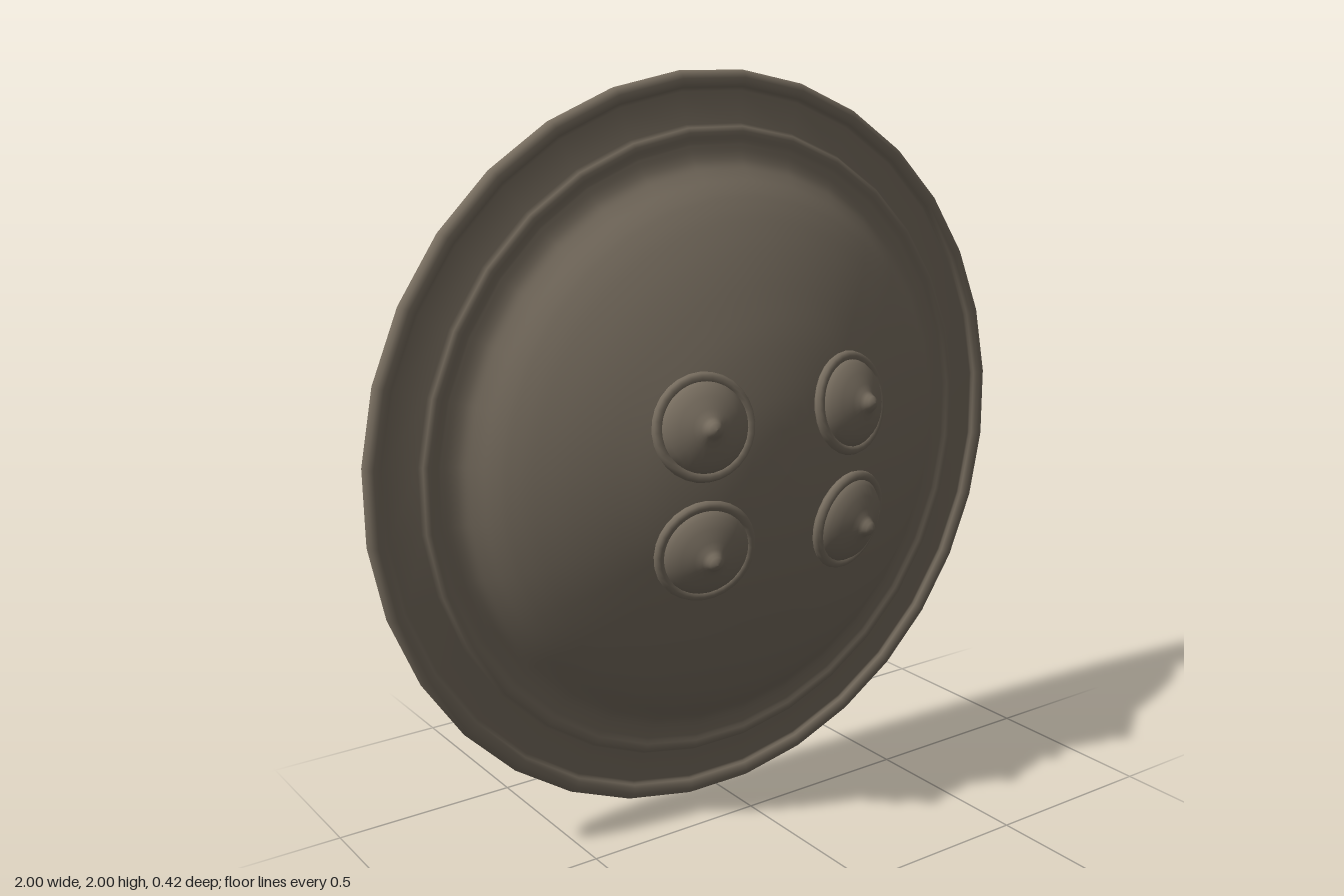
import * as THREE from 'three';

const metal = new THREE.MeshStandardMaterial({ color: 0x776d5f });
const leather = new THREE.MeshStandardMaterial({ color: 0x452b24 });
const vec2 = ([x, y]) => new THREE.Vector2(x, y);

function add(parent, name, geometry, material) {
  const mesh = new THREE.Mesh(geometry, material);
  mesh.name = name;
  parent.add(mesh);
  return mesh;
}

// Profile of [radius, z] pairs turned around the z axis
function turned(points, sides) {
  return new THREE.LatheGeometry(points, sides, Math.PI / sides).rotateX(Math.PI / 2);
}

// Flat band of leather following a side-on path of [y, z] pairs
function band(path, width, thickness) {
  const curve = new THREE.CatmullRomCurve3(path.map(([y, z]) => new THREE.Vector3(0, y, z)));
  const geometry = new THREE.BoxGeometry(width, 1, thickness, 1, 14, 1);
  const pos = geometry.attributes.position;
  for (let i = 0; i < pos.count; i++) {
    const u = 0.5 - pos.getY(i);
    const p = curve.getPointAt(u), t = curve.getTangentAt(u), d = pos.getZ(i);
    pos.setXYZ(i, pos.getX(i), p.y - t.z * d, p.z - t.y * d);
  }
  geometry.computeVertexNormals();
  return geometry;
}

// Leather slab sunk in the middle to cradle the arm; soft thins its edges
function slab(width, height, thickness, z, soft) {
  const geometry = new THREE.BoxGeometry(width, height, thickness, 14, 14, 2);
  const pos = geometry.attributes.position;
  for (let i = 0; i < pos.count; i++) {
    const x = pos.getX(i), y = pos.getY(i);
    const edge = 2 * Math.max(Math.abs(x) / width, Math.abs(y) / height);
    const puff = 1 - soft * Math.pow(edge, 6);
    pos.setZ(i, z + pos.getZ(i) * puff - 0.7 * x * x - 0.3 * y * y);
  }
  geometry.computeVertexNormals();
  return geometry;
}

function createBoss() {
  const boss = new THREE.Group();
  boss.name = 'boss';
  add(boss, 'bossRing', new THREE.TorusGeometry(0.124, 0.014, 8, 28), metal);
  const profile = [
    [0.12, -0.02], [0.116, 0.008], [0.104, 0.025], [0.08, 0.041], [0.05, 0.053],
    [0.032, 0.06], [0.024, 0.068], [0.018, 0.078], [0.01, 0.085], [0, 0.087],
  ].map(vec2);
  add(boss, 'bossCap', turned(profile, 28), metal);
  return boss;
}

export function createModel() {
  const shield = new THREE.Group();
  shield.name = 'shield';

  // Body: hollow back, rolled rim, flat border with bead, domed front
  const back = new THREE.SplineCurve([
    [0, 0.018], [0.15, 0.01], [0.3, -0.013], [0.45, -0.055], [0.6, -0.106],
    [0.75, -0.154], [0.85, -0.183], [0.95, -0.205],
  ].map(vec2)).getPoints(28);
  const border = [
    [0.975, -0.209], [0.99, -0.2], [1.0, -0.187], [1.003, -0.173], [0.997, -0.16],
    [0.983, -0.154], [0.968, -0.156], [0.96, -0.163], [0.957, -0.17], [0.95, -0.17],
    [0.868, -0.164], [0.86, -0.152], [0.848, -0.147], [0.836, -0.149], [0.828, -0.152],
  ].map(vec2);
  const dome = new THREE.SplineCurve([
    [0.82, -0.152], [0.79, -0.147], [0.765, -0.137], [0.74, -0.116], [0.71, -0.086],
    [0.68, -0.06], [0.63, -0.025], [0.55, 0.02], [0.45, 0.065], [0.32, 0.112], [0.16, 0.148], [0, 0.16],
  ].map(vec2)).getPoints(44);
  add(shield, 'body', turned([...back, ...border, ...dome], 32), metal).position.y = 1;

  // Four bosses tilted with the slope of the dome
  for (const x of [-0.232, 0.232]) {
    for (const y of [-0.16, 0.16]) {
      const boss = createBoss();
      boss.position.set(x, 0.99 + y, 0.124);
      boss.quaternion.setFromUnitVectors(
        new THREE.Vector3(0, 0, 1), new THREE.Vector3(x, y, 1.1).normalize());
      shield.add(boss);
    }
  }

  // Arm pad on the back: thin sheet with a stuffed cushion
  const grip = new THREE.Group();
  grip.name = 'armGrip';
  grip.position.y = 0.988;
  shield.add(grip);
  add(grip, 'padBacking', slab(0.56, 0.55, 0.022, -0.005, 0), leather);
  add(grip, 'padCushion', slab(0.49, 0.48, 0.07, -0.013, 0.85), leather);

  // Tabs, rings and straps, two per side
  for (const x of [-0.212, 0.212]) {
    for (const [y, upper] of [[0.15, true], [-0.245, false]]) {
      const holder = new THREE.Group();
      holder.name = upper ? 'upperFastening' : 'lowerFastening';
      holder.position.set(x, y, 0);
      grip.add(holder);
      add(holder, 'tab', band(
        [[0.09, -0.06], [0.07, -0.1], [0.02, -0.135], [-0.01, -0.135], [-0.015, -0.11], [0.03, -0.08]],
        0.072, 0.014), leather);
      const ring = add(holder, 'ring', new THREE.TorusGeometry(0.05, 0.007, 6, 18), leather);
      ring.position.set(0, -0.03, -0.124);
      ring.rotation.x = 0.2;
      let path = [[-0.05, -0.105], [-0.05, -0.132], [-0.08, -0.136], [-0.15, -0.122], [-0.26, -0.112]];
      if (!upper) {
        path = x < 0
          ? [[-0.04, -0.11], [-0.06, -0.132], [-0.15, -0.132], [-0.3, -0.152], [-0.41, -0.168], [-0.465, -0.18]]
          : [[-0.04, -0.11], [-0.06, -0.135], [-0.1, -0.142], [-0.17, -0.165]];
      }
      add(holder, 'strap', band(path, !upper && x < 0 ? 0.085 : 0.066, 0.016), leather);
    }
  }
  return shield;
}
